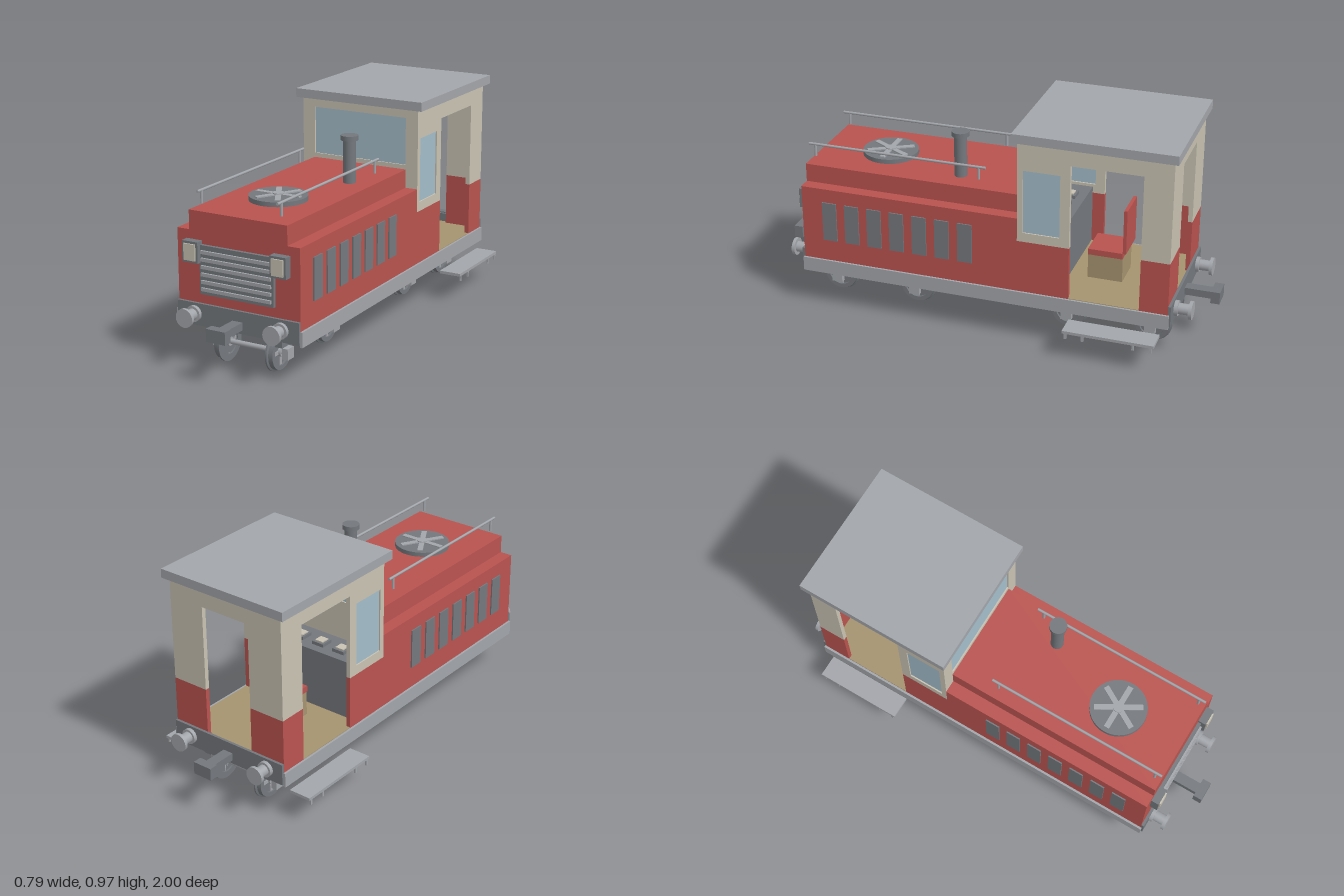
import * as THREE from 'three';

const mat = (name, color) => {
  const m = new THREE.MeshStandardMaterial({ color });
  m.name = name;
  return m;
};

export function createModel() {
  const red = mat('red paint', 0xb9534f);
  const cream = mat('cream paint', 0xc8c2b2);
  const glass = mat('window blue', 0xa3bdca);
  const dark = mat('dark grey metal', 0x74787d);
  const light = mat('light grey metal', 0xa2a5aa);
  const wood = mat('wood', 0xa5936f);

  const model = new THREE.Group();
  model.name = 'locomotive';
  const group = (name, parent = model) => {
    const g = new THREE.Group();
    g.name = name;
    parent.add(g);
    return g;
  };
  const add = (parent, name, geometry, material) => {
    const m = new THREE.Mesh(geometry, material);
    m.name = name;
    parent.add(m);
    return m;
  };
  // Box from its limits; x and z limits may come in either order
  const box = (p, name, material, x0, x1, y0, y1, z0, z1) => {
    const m = add(p, name, new THREE.BoxGeometry(Math.abs(x1 - x0), y1 - y0, Math.abs(z1 - z0)), material);
    m.position.set((x0 + x1) / 2, (y0 + y1) / 2, (z0 + z1) / 2);
    return m;
  };
  // Cylinder along one axis, centred on x, y, z
  const cyl = (p, name, material, axis, r, length, x, y, z, sides = 32) => {
    const g = new THREE.CylinderGeometry(r, r, length, sides);
    if (axis === 'x') g.rotateZ(Math.PI / 2);
    if (axis === 'z') g.rotateX(Math.PI / 2);
    add(p, name, g, material).position.set(x, y, z);
  };

  // Chassis
  const chassis = group('chassis');
  box(chassis, 'underframe', dark, -0.29, 0.29, 0.17, 0.225, -0.83, 0.83);
  for (const s of [-1, 1]) {
    box(chassis, 'sideSill', light, s * 0.29, s * 0.3, 0.165, 0.23, -0.835, 0.835);
  }

  // End beam, bumpers and coupler at both ends
  for (const e of [-1, 1]) {
    const end = group(e > 0 ? 'frontEnd' : 'rearEnd');
    box(end, 'endBeam', dark, -0.29, 0.29, 0.175, 0.27, e * 0.83, e * 0.842);
    for (const s of [-1, 1]) {
      cyl(end, 'bumperCollar', light, 'z', 0.034, 0.016, s * 0.207, 0.225, e * 0.85);
      cyl(end, 'bumperShaft', light, 'z', 0.024, 0.06, s * 0.207, 0.225, e * 0.875);
      cyl(end, 'bumperPlate', light, 'z', 0.04, 0.014, s * 0.207, 0.225, e * 0.912);
    }
    box(end, 'couplerShaft', dark, -0.024, 0.024, 0.192, 0.225, e * 0.842, e * 0.96);
    box(end, 'couplerHead', dark, -0.045, 0.045, 0.182, 0.237, e * 0.96, e);
  }

  // Hood
  const hood = group('hood');
  box(hood, 'hoodBase', red, -0.29, 0.29, 0.23, 0.575, -0.165, 0.83);
  box(hood, 'hoodTop', red, -0.232, 0.232, 0.575, 0.658, -0.165, 0.83);
  for (const s of [-1, 1]) {
    for (let i = 0; i < 7; i++) {
      const z = 0.7 - i * 0.105;
      box(hood, 'sideVent', dark, s * 0.29, s * 0.296, 0.33, 0.512, z - 0.033, z + 0.033);
    }
    // Headlights
    box(hood, 'headlightCase', dark, s * 0.17, s * 0.245, 0.447, 0.537, 0.83, 0.865);
    box(hood, 'headlightLens', cream, s * 0.18, s * 0.235, 0.457, 0.527, 0.865, 0.871);
    // Handrails
    cyl(hood, 'handrail', light, 'z', 0.006, 0.82, s * 0.188, 0.738, 0.42, 10);
    for (const z of [0.8, 0.04]) cyl(hood, 'handrailPost', light, 'y', 0.006, 0.055, s * 0.188, 0.71, z, 10);
  }
  // Front grille
  box(hood, 'grillePanel', dark, -0.175, 0.175, 0.314, 0.522, 0.83, 0.845);
  for (let i = 0; i < 6; i++) {
    const y = 0.337 + i * 0.0315;
    box(hood, 'grilleSlat', light, -0.165, 0.165, y - 0.007, y + 0.007, 0.845, 0.854);
  }
  // Roof fan
  cyl(hood, 'fanDisc', dark, 'y', 0.124, 0.02, 0, 0.668, 0.52, 48);
  for (let i = 0; i < 3; i++) {
    const spoke = box(hood, 'fanSpoke', light, -0.105, 0.105, 0.678, 0.683, 0.508, 0.532);
    spoke.rotation.y = i * Math.PI / 3;
  }
  cyl(hood, 'fanHub', light, 'y', 0.025, 0.009, 0, 0.6825, 0.52, 24);
  // Exhaust
  cyl(hood, 'exhaustPipe', dark, 'y', 0.028, 0.19, 0.123, 0.75, 0.145);
  cyl(hood, 'exhaustCap', dark, 'y', 0.038, 0.021, 0.123, 0.855, 0.145);

  // Cab
  const cab = group('cab');
  box(cab, 'cabFloor', wood, -0.289, 0.289, 0.225, 0.232, -0.829, -0.166);
  box(cab, 'roof', light, -0.316, 0.316, 0.93, 0.97, -0.85, -0.145);
  for (const s of [-1, 1]) {
    const side = (name, m, y0, y1, z0, z1) => box(cab, name, m, s * 0.27, s * 0.29, y0, y1, z0, z1);
    side('sidePanelFront', red, 0.23, 0.47, -0.395, -0.165);
    side('sidePanelRear', red, 0.23, 0.47, -0.83, -0.705);
    side('rearPost', cream, 0.47, 0.93, -0.83, -0.705);
    side('doorLintel', cream, 0.85, 0.93, -0.705, -0.395);
    // Side window
    side('windowSill', cream, 0.47, 0.512, -0.395, -0.165);
    side('windowHead', cream, 0.8, 0.93, -0.395, -0.165);
    side('windowPost', cream, 0.512, 0.8, -0.395, -0.352);
    side('windowPost', cream, 0.512, 0.8, -0.19, -0.165);
    box(cab, 'sideGlass', glass, s * 0.277, s * 0.284, 0.512, 0.8, -0.352, -0.19);
    // Rear wall beside the open doorway
    box(cab, 'rearPanel', red, s * 0.12, s * 0.27, 0.23, 0.47, -0.83, -0.81);
    box(cab, 'rearWall', cream, s * 0.12, s * 0.27, 0.47, 0.93, -0.83, -0.81);
    // Front wall beside the windscreen
    box(cab, 'windscreenPost', cream, s * 0.23, s * 0.27, 0.678, 0.89, -0.185, -0.165);
  }
  box(cab, 'rearLintel', cream, -0.12, 0.12, 0.85, 0.93, -0.83, -0.81);
  box(cab, 'frontWall', cream, -0.27, 0.27, 0.23, 0.678, -0.185, -0.165);
  box(cab, 'windscreenHead', cream, -0.27, 0.27, 0.89, 0.93, -0.185, -0.165);
  box(cab, 'windscreen', glass, -0.23, 0.23, 0.678, 0.89, -0.178, -0.171);

  // Console and seat
  const inside = group('cabInterior');
  box(inside, 'console', dark, -0.268, 0.268, 0.232, 0.5, -0.34, -0.185);
  for (const x of [-0.15, -0.04, 0.07]) {
    box(inside, 'gaugeCase', dark, x - 0.03, x + 0.03, 0.5, 0.515, -0.3, -0.24);
    box(inside, 'gaugeFace', cream, x - 0.02, x + 0.02, 0.515, 0.52, -0.29, -0.25);
  }
  box(inside, 'seatBase', wood, -0.075, 0.075, 0.232, 0.345, -0.575, -0.42);
  box(inside, 'seatCushion', red, -0.08, 0.08, 0.345, 0.372, -0.575, -0.42);
  box(inside, 'seatBack', red, -0.08, 0.08, 0.372, 0.577, -0.59, -0.575);

  // Side steps
  for (const s of [-1, 1]) {
    const step = group('sideStep');
    box(step, 'tread', light, s * 0.293, s * 0.395, 0.12, 0.133, -0.8, -0.4);
    for (const z of [-0.785, -0.71, -0.49, -0.415]) {
      box(step, 'stepLeg', light, s * 0.388, s * 0.395, 0.096, 0.12, z - 0.005, z + 0.005);
    }
  }

  // Wheel rim section with its flange, as radius and distance along the axle
  const rim = [[0.056, -0.016], [0.085, -0.016], [0.085, -0.009], [0.077, -0.005],
    [0.075, 0.014], [0.056, 0.014], [0.056, -0.016]].map(([r, d]) => new THREE.Vector2(r, d));

  // Two bogies, each with two wheelsets
  for (const c of [0.5425, -0.5425]) {
    const bogie = group('bogie');
    bogie.position.z = c;
    box(bogie, 'bolster', dark, -0.145, 0.145, 0.13, 0.17, -0.05, 0.05);
    for (const s of [-1, 1]) box(bogie, 'bogieSide', dark, s * 0.145, s * 0.18, 0.127, 0.163, -0.25, 0.25);
    for (const z of [-0.1875, 0.1875]) {
      box(bogie, 'crossBeam', dark, -0.145, 0.145, 0.137, 0.157, z - 0.012, z + 0.012);
      const set = group('wheelset', bogie);
      set.position.set(0, 0.085, z);
      cyl(set, 'axle', light, 'x', 0.011, 0.32, 0, 0, 0, 16);
      for (const s of [-1, 1]) {
        // Each face of the rim is turned separately to keep its edges sharp
        const tyre = group('tyre', set);
        tyre.rotation.z = -s * Math.PI / 2;
        tyre.position.x = s * 0.127;
        for (let i = 0; i < rim.length - 1; i++) {
          add(tyre, 'rimFace', new THREE.LatheGeometry([rim[i], rim[i + 1]], 40), dark);
        }
        cyl(set, 'wheelDisc', dark, 'x', 0.058, 0.012, s * 0.124, 0, 0);
        box(set, 'spoke', light, s * 0.118, s * 0.134, -0.056, 0.056, -0.008, 0.008);
        box(set, 'spoke', light, s * 0.118, s * 0.134, -0.008, 0.008, -0.056, 0.056);
        cyl(set, 'hub', light, 'x', 0.02, 0.036, s * 0.126, 0, 0, 20);
        box(set, 'axleBox', light, s * 0.155, s * 0.182, -0.023, 0.025, -0.024, 0.024);
      }
    }
  }
  return model;
}
